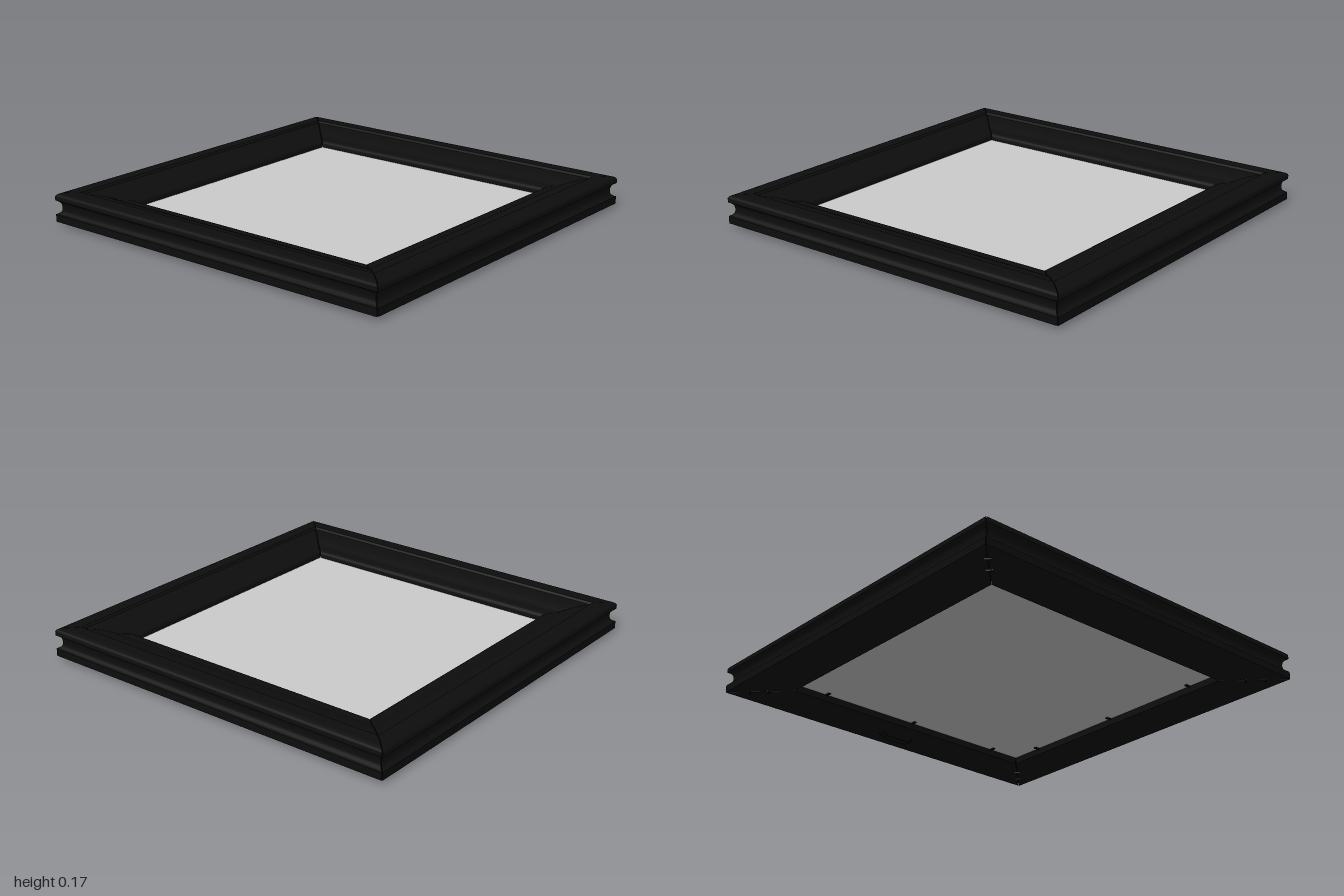
import * as THREE from 'three';
import { toCreasedNormals } from 'three/addons/utils/BufferGeometryUtils.js';

const black = new THREE.MeshStandardMaterial({ color: 0x0d0d0d });
const grey = new THREE.MeshStandardMaterial({ color: 0xcccccc });

// Cross-section of the moulding: x is the distance from the centre, y the height
function mouldingProfile() {
  const s = new THREE.Shape();
  s.moveTo(0.75, 0.02);
  s.lineTo(1, 0.02);
  s.lineTo(1, 0.058);
  s.quadraticCurveTo(0.988, 0.062, 0.98, 0.072); // scooped outer side
  s.quadraticCurveTo(0.972, 0.092, 0.98, 0.114);
  s.quadraticCurveTo(0.988, 0.126, 1, 0.13);
  s.lineTo(1, 0.15);
  s.quadraticCurveTo(0.995, 0.166, 0.965, 0.167); // rounded rim
  s.lineTo(0.91, 0.167);
  s.lineTo(0.9, 0.157);
  s.quadraticCurveTo(0.84, 0.152, 0.78, 0.12); // cove down to the lip
  s.lineTo(0.765, 0.12);
  s.quadraticCurveTo(0.725, 0.12, 0.72, 0.1);
  s.lineTo(0.72, 0.081);
  s.lineTo(0.75, 0.081); // rebate holding the panel
  s.closePath();
  return s;
}

// Extrude the profile, then stretch each point along the side to make mitred ends
function mouldingGeometry() {
  const geo = new THREE.ExtrudeGeometry(mouldingProfile(), { depth: 1, steps: 1, bevelEnabled: false, curveSegments: 6 });
  const p = geo.attributes.position;
  for (let i = 0; i < p.count; i++) {
    p.setZ(i, (p.getZ(i) * 2 - 1) * (p.getX(i) - 0.002));
  }
  return toCreasedNormals(geo, 0.6);
}

function box(name, w, h, d, x, y, z, material = black) {
  const m = new THREE.Mesh(new THREE.BoxGeometry(w, h, d), material);
  m.name = name;
  m.position.set(x, y, z);
  return m;
}

// Bent strap with screwed-down ends, under the back rail
function createHanger() {
  const g = new THREE.Group();
  g.name = 'hanger';
  const s = new THREE.Shape();
  const outer = [[-0.1, 0.02], [-0.1, 0.016], [-0.085, 0.014], [-0.075, 0], [0.075, 0], [0.085, 0.014], [0.1, 0.016], [0.1, 0.02]];
  const inner = [[0.083, 0.019], [0.072, 0.004], [-0.072, 0.004], [-0.083, 0.019]];
  s.setFromPoints([...outer, ...inner].map(([x, y]) => new THREE.Vector2(x, y)));
  const strap = new THREE.Mesh(new THREE.ExtrudeGeometry(s, { depth: 0.04, bevelEnabled: false }), black);
  strap.name = 'hangerStrap';
  strap.position.z = -0.91;
  g.add(strap);
  for (const x of [-0.092, 0.092]) {
    const screw = new THREE.Mesh(new THREE.CylinderGeometry(0.008, 0.008, 0.008, 12), black);
    screw.name = 'hangerScrew';
    screw.position.set(x, 0.015, -0.89);
    g.add(screw);
  }
  return g;
}

export function createModel() {
  const model = new THREE.Group();
  model.name = 'pictureFrame';

  const railGeo = mouldingGeometry();
  for (let i = 0; i < 4; i++) {
    const side = new THREE.Group();
    side.name = 'frameSide';
    side.rotation.y = i * Math.PI / 2;
    const rail = new THREE.Mesh(railGeo, black);
    rail.name = 'mouldingRail';
    side.add(rail);

    // Small pins keeping the panel in the rebate
    for (const z of [-0.56, 0, 0.56]) {
      side.add(box('retainingPin', 0.045, 0.006, 0.014, 0.742, 0.052, z));
    }

    // Joining nails across the mitre at one corner
    for (const r of [0.845, 0.915]) {
      const nail = box('cornerNail', 0.035, 0.01, 0.006, r, 0.018, r);
      nail.rotation.y = Math.PI / 4;
      side.add(nail);
    }
    model.add(side);
  }

  model.add(box('picturePanel', 1.5, 0.026, 1.5, 0, 0.068, 0, grey));
  model.add(createHanger());
  return model;
}
